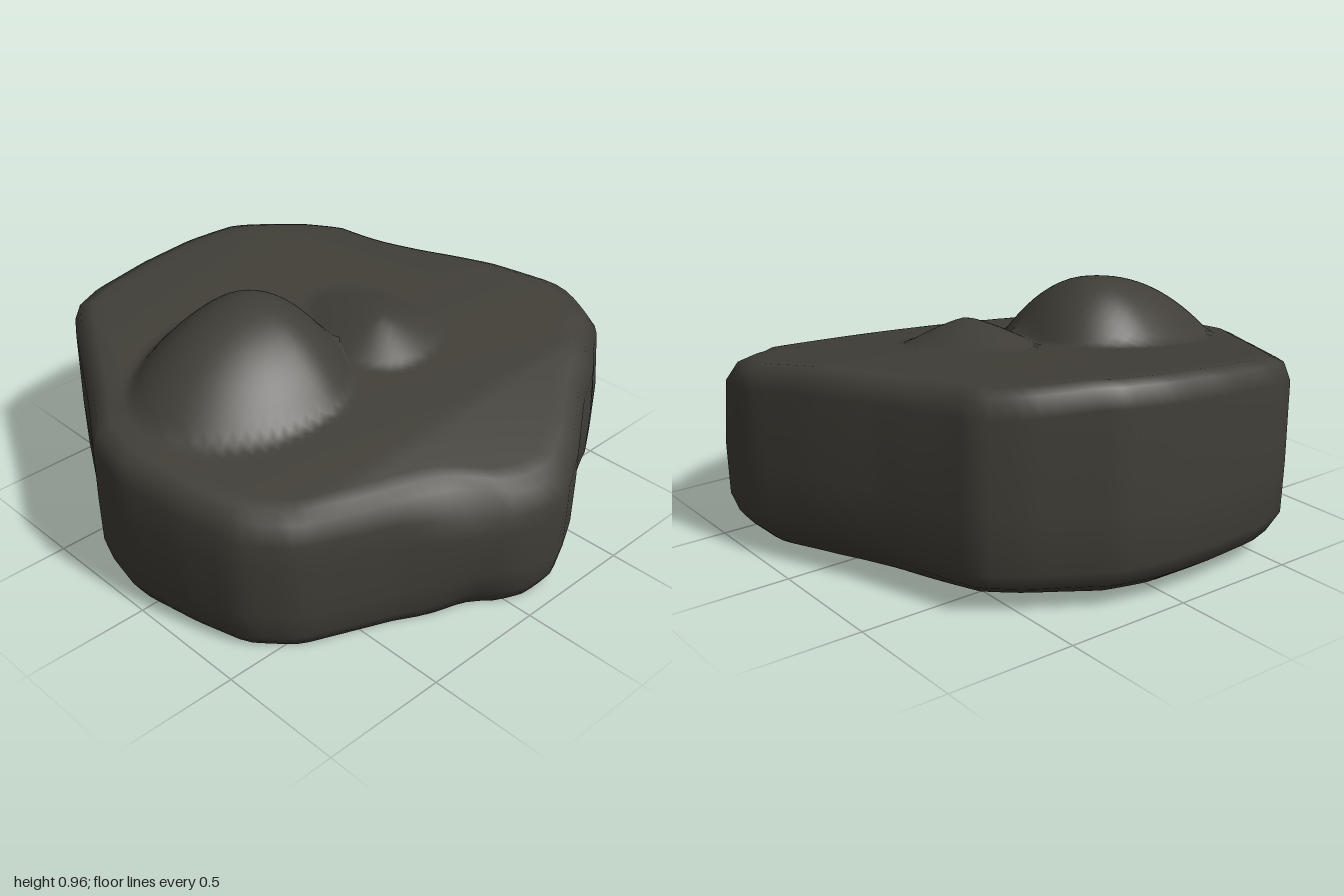
import * as THREE from 'three';

// Plan outline of the boulder at its widest, as x, z pairs
const OUTLINE = [
  [-0.57, -0.92], [-0.45, -0.96], [-0.2, -0.98], [0.05, -0.975], [0.24, -0.94], [0.52, -0.78],
  [0.65, -0.67], [0.69, -0.55], [0.78, -0.27], [0.9, 0], [1, 0.25], [1, 0.33], [0.97, 0.51],
  [0.75, 0.65], [0.6, 0.72], [0.37, 0.88], [0.2, 0.97], [0.08, 0.97], [-0.04, 0.94], [-0.4, 0.72],
  [-0.75, 0.57], [-0.82, 0.5], [-0.89, 0.42], [-0.95, 0.2], [-1, -0.08], [-0.97, -0.26],
  [-0.83, -0.48], [-0.63, -0.83],
];
const SEGMENTS = 112;

const smooth = THREE.MathUtils.smoothstep;
const spot = (x, z, cx, cz, r) => Math.exp(-((x - cx) ** 2 + (z - cz) ** 2) / (r * r));

// Rounded mound with a different reach on each side
function mound(x, z, cx, cz, left, right, back, front, power) {
  const dx = (x - cx) / (x < cx ? left : right);
  const dz = (z - cz) / (z < cz ? back : front);
  return Math.max(0, 1 - Math.hypot(dx, dz) ** power);
}

// Sloping top with a large hump and a small ledge
function topHeight(x, z) {
  const base = 0.7 + 0.08 * x - 0.13 * z - 0.15 * Math.max(0, z - 0.55)
    - 0.15 * Math.max(0, x - 0.3) * Math.max(0, -z);
  const dome = 0.03 * Math.max(0, 1 - x * x - z * z);
  const hump = 0.235 * mound(x, z, -0.3, -0.15, 0.53, 0.31, 0.34, 0.41, 2.1);
  const ledge = 0.09 * mound(x, z, 0.15, 0.07, 0.2, 0.24, 0.35, 0.2, 1.3);
  return base + dome + hump + ledge;
}

// Underside lifts slightly toward the right and the back
const bottomHeight = (x, z) => 0.005 + 0.04 * Math.max(0, x) + 0.035 * Math.max(0, -z);

// Places where the upper rim is cut back
const rimCut = (x, z) => 0.06 * spot(x, z, -0.2, 0.84, 0.22)
  + 0.05 * spot(x, z, 0.7, -0.5, 0.25) + 0.05 * spot(x, z, 0.9, 0.56, 0.16);

// Places where the lower edge is chipped away
const lowerCut = (x, z) => 0.05 * spot(x, z, 0.86, -0.05, 0.35)
  + 0.05 * spot(x, z, -0.12, 0.9, 0.15) + 0.06 * spot(x, z, 0.68, 0.68, 0.12);

function boulderGeometry() {
  // Zero tension keeps the sides straight between corners
  const curve = new THREE.CatmullRomCurve3(
    OUTLINE.map(([x, z]) => new THREE.Vector3(x, 0, z)), true, 'catmullrom', 0);
  const outline = curve.getSpacedPoints(SEGMENTS).slice(0, SEGMENTS);

  // Each ring: a function from an outline point to a vertex
  const rings = [];
  for (const s of [0, 0.35, 0.7, 1]) {
    rings.push(({ x, z }) => {
      const k = s * (0.94 - 0.07 * smooth(-z, 0, 0.9) - 0.03 * smooth(x, 0, 0.9) - lowerCut(x, z));
      return [x * k, bottomHeight(x * k, z * k), z * k];
    });
  }
  // Rounded lower edge and walls
  rings.push(({ x, z }) => {
    const cut = lowerCut(x, z);
    const k = 0.97 - 0.02 * smooth(-z, 0, 0.9) - 0.4 * cut;
    return [x * k, bottomHeight(x, z) + 0.05 + 0.7 * cut, z * k];
  });
  rings.push(({ x, z }) => [x * 0.995, 0.17 + 0.5 * lowerCut(x, z), z * 0.995]);
  rings.push(({ x, z }) => [x, 0.37, z]);
  rings.push(({ x, z }) => {
    const k = 1 - 0.4 * rimCut(x, z);
    return [x * k, topHeight(x, z) - 0.09, z * k];
  });
  // Rim, then the top surface in toward the middle
  const topScales = [0.975, 0.925];
  for (let i = 26; i >= 0; i--) topScales.push(i / 30);
  topScales.forEach((s, i) => rings.push(({ x, z }) => {
    const k = s * (1 - rimCut(x, z));
    const y = topHeight(x * k, z * k) - (i === 0 ? 0.02 : 0);
    return [x * k, y, z * k];
  }));

  const positions = rings.flatMap((ring) => outline.flatMap((p) => ring(p)));
  const index = [];
  const last = rings.length - 2;
  for (let j = 0; j <= last; j++) {
    for (let i = 0; i < SEGMENTS; i++) {
      const a = j * SEGMENTS + i;
      const b = j * SEGMENTS + (i + 1) % SEGMENTS;
      const c = a + SEGMENTS;
      const d = b + SEGMENTS;
      // The first and last rings close to a point, so they need one triangle each
      if (j > 0) index.push(a, d, b);
      if (j < last) index.push(a, c, d);
    }
  }
  const geometry = new THREE.BufferGeometry();
  geometry.setAttribute('position', new THREE.Float32BufferAttribute(positions, 3));
  geometry.setIndex(index);
  geometry.computeVertexNormals();
  return geometry;
}

export function createModel() {
  const group = new THREE.Group();
  group.name = 'rock';
  const stone = new THREE.MeshStandardMaterial({ color: 0x403e37 });
  stone.name = 'dark stone';
  const boulder = new THREE.Mesh(boulderGeometry(), stone);
  boulder.name = 'boulder';
  group.add(boulder);
  return group;
}
